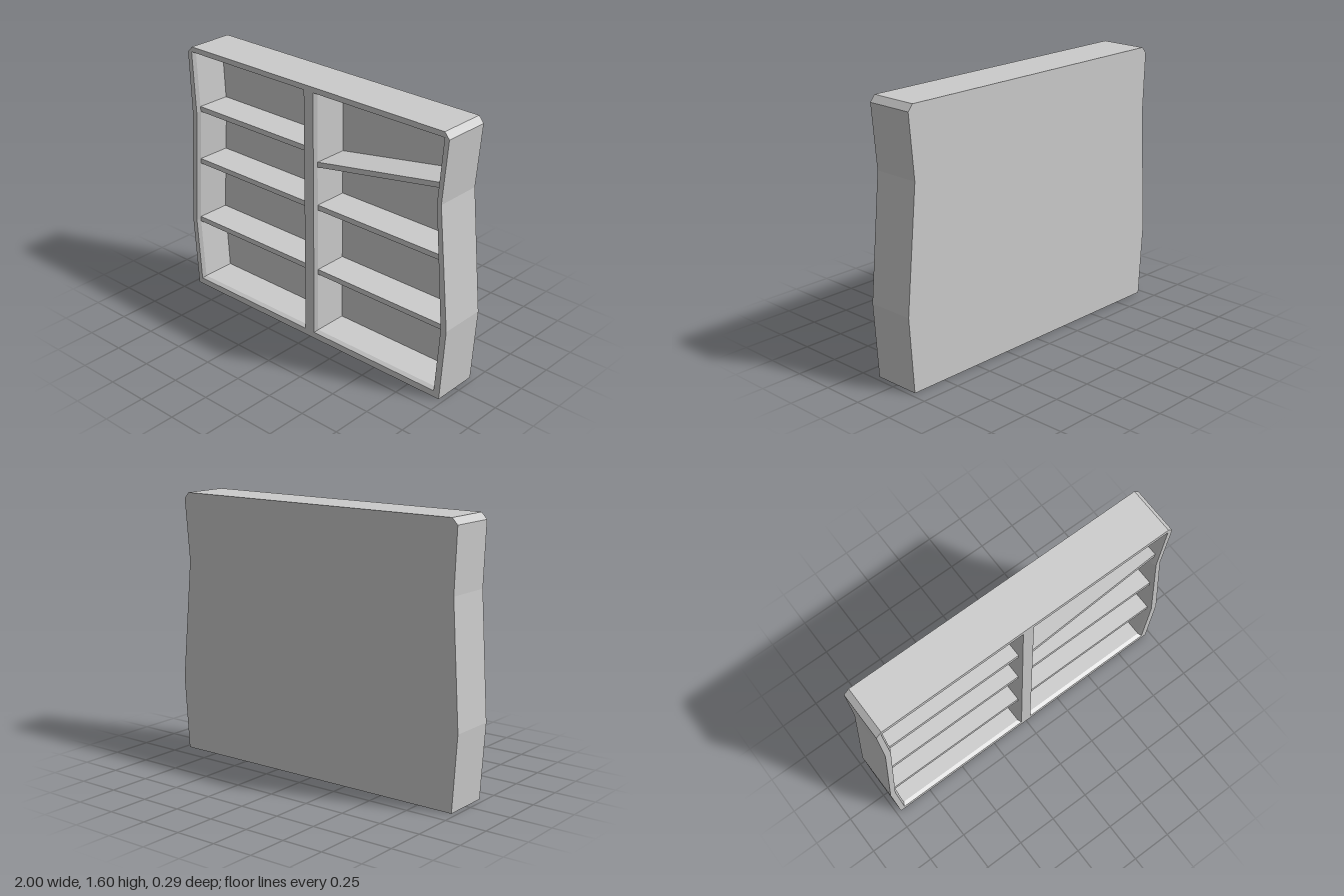
import * as THREE from 'three';

const FRONT = 0.145, BACK = -0.145, LIP = 0.122, RECESS = -0.09;
const material = new THREE.MeshStandardMaterial({ color: 0xcccccc, flatShading: true });

const toShape = (loop) => new THREE.Shape(loop.map(([x, y]) => new THREE.Vector2(x, y)));

// Wall joining two matching counter-clockwise loops; inward walls face the loop's centre
function band(loopA, zA, loopB, zB, inward) {
  const pos = [];
  loopA.forEach((a, i) => {
    const j = (i + 1) % loopA.length;
    const p = [...a, zA], q = [...loopA[j], zA], r = [...loopB[j], zB], s = [...loopB[i], zB];
    const quad = inward ? [p, r, q, p, s, r] : [p, q, r, p, r, s];
    quad.forEach((v) => pos.push(...v));
  });
  const g = new THREE.BufferGeometry();
  g.setAttribute('position', new THREE.Float32BufferAttribute(pos, 3));
  g.computeVertexNormals();
  return g;
}

// x of a side wall at height y, along its [x, y] points sorted upward
function wallX(wall, y) {
  for (let i = 0; i < wall.length - 1; i++) {
    const [x0, y0] = wall[i], [x1, y1] = wall[i + 1];
    if (y <= y1) return x0 + (x1 - x0) * (y - y0) / (y1 - y0);
  }
  return wall[wall.length - 1][0];
}

export function createModel() {
  const group = new THREE.Group();
  const add = (name, geometry, z = 0) => {
    const mesh = new THREE.Mesh(geometry, material);
    mesh.name = name;
    mesh.position.z = z;
    group.add(mesh);
  };

  // Wavy outer silhouette, counter-clockwise from the front
  const outline = [
    [-0.97, 0], [0.97, 0], [1, 0.45], [0.93, 1.19], [0.963, 1.565],
    [0.932, 1.602], [-0.935, 1.602], [-0.97, 1.565], [-0.955, 1.19], [-1, 0.45],
  ];

  // Side walls and divider at the mouth and just behind the bevelled lip
  const bays = [
    {
      name: 'right',
      mouth: [[-0.94, 0.04], [-0.037, 0.04], [-0.037, 1.57], [-0.94, 1.57], [-0.92, 1.19], [-0.967, 0.45]],
      inner: [[-0.928, 0.053], [-0.05, 0.053], [-0.05, 1.558], [-0.928, 1.558], [-0.908, 1.19], [-0.954, 0.45]],
      wall: [[-0.928, 0.053], [-0.954, 0.45], [-0.908, 1.19], [-0.928, 1.558]],
      // heights of the underside at the divider and at the outer wall
      shelves: [[0.438, 0.438], [0.845, 0.845], [1.193, 1.193]],
      dividerX: -0.05,
    },
    {
      name: 'left',
      mouth: [[0.032, 0.04], [0.933, 0.04], [0.962, 0.45], [0.902, 1.19], [0.933, 1.57], [0.032, 1.57]],
      inner: [[0.044, 0.053], [0.92, 0.053], [0.949, 0.45], [0.889, 1.19], [0.92, 1.558], [0.044, 1.558]],
      wall: [[0.92, 0.053], [0.949, 0.45], [0.889, 1.19], [0.92, 1.558]],
      shelves: [[0.433, 0.433], [0.852, 0.852], [1.12, 1.27]],
      dividerX: 0.044,
    },
  ];

  // Outer shell
  const face = toShape(outline);
  face.holes = bays.map((b) => new THREE.Path(b.mouth.map(([x, y]) => new THREE.Vector2(x, y))));
  add('frontFrame', new THREE.ShapeGeometry(face), FRONT);
  add('outerSides', band(outline, BACK, outline, FRONT, false));
  const backGeo = new THREE.ShapeGeometry(toShape(outline));
  backGeo.rotateY(Math.PI);
  backGeo.scale(-1, 1, 1);
  // the mirrored outline needs its corner order reversed to face backwards
  const idx = backGeo.index.array;
  for (let i = 0; i < idx.length; i += 3) [idx[i], idx[i + 1]] = [idx[i + 1], idx[i]];
  backGeo.computeVertexNormals();
  add('backPanel', backGeo, BACK);

  // Compartments with bevelled lips and shelves
  for (const bay of bays) {
    add(`${bay.name}BayLip`, band(bay.inner, LIP, bay.mouth, FRONT, true));
    add(`${bay.name}BayWalls`, band(bay.inner, RECESS, bay.inner, LIP, true));
    add(`${bay.name}BayBack`, new THREE.ShapeGeometry(toShape(bay.inner)), RECESS);

    bay.shelves.forEach(([yDivider, yWall], i) => {
      const t = 0.032;
      const corners = [
        [bay.dividerX, yDivider], [wallX(bay.wall, yWall), yWall],
        [wallX(bay.wall, yWall + t), yWall + t], [bay.dividerX, yDivider + t],
      ];
      const geo = new THREE.ExtrudeGeometry(toShape(corners), { depth: LIP - RECESS, bevelEnabled: false });
      add(`${bay.name}Shelf${i + 1}`, geo, RECESS);
    });
  }
  return group;
}
